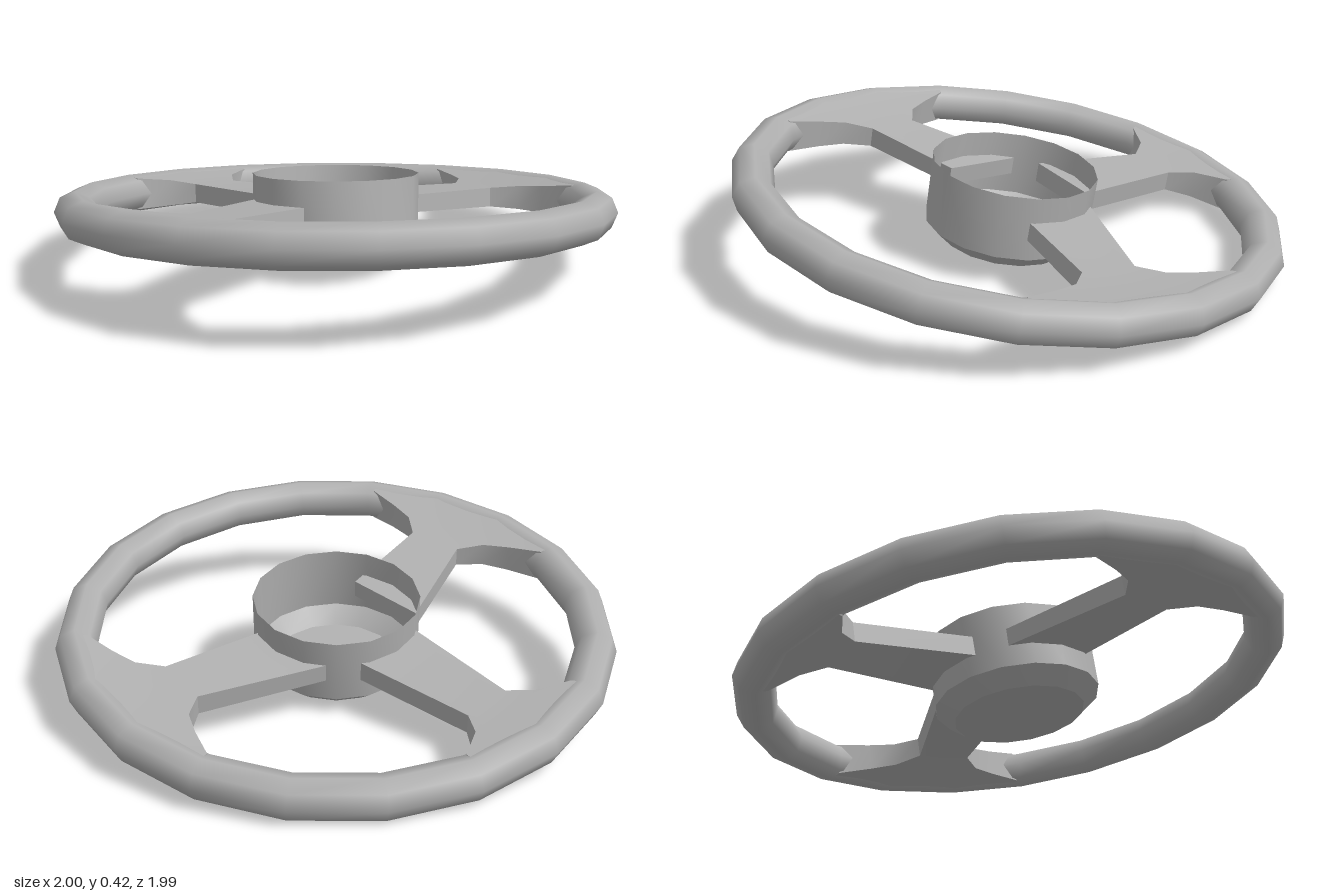
import * as THREE from 'three';
import { toCreasedNormals } from 'three/addons/utils/BufferGeometryUtils.js';

const grey = new THREE.MeshStandardMaterial({ color: 0xb0b0b0, side: THREE.DoubleSide });
grey.name = 'grey';

function part(name, geometry) {
  const mesh = new THREE.Mesh(geometry, grey);
  mesh.name = name;
  return mesh;
}

// Spoke from stations [r1, angle1, r2, angle2, halfHeight], hub to rim.
// Angles in degrees run from +x towards +z.
function spokeGeometry(stations) {
  const M = 8, pos = [];
  const polar = (r, a) => [r * Math.cos(a * Math.PI / 180), r * Math.sin(a * Math.PI / 180)];
  const loops = stations.map(([r1, a1, r2, a2, h]) => {
    const across = (t) => {
      if (r1 > 0.7) return polar(r1 + (r2 - r1) * t, a1 + (a2 - a1) * t);
      const p = polar(r1, a1), q = polar(r2, a2);
      return [p[0] + (q[0] - p[0]) * t, p[1] + (q[1] - p[1]) * t];
    };
    const loop = [];
    for (let i = 0; i <= M; i++) { const [x, z] = across(i / M); loop.push([x, h, z]); }
    for (let i = M; i >= 0; i--) { const [x, z] = across(i / M); loop.push([x, -h, z]); }
    return loop;
  });
  const quad = (a, b, c, d) => pos.push(...a, ...b, ...d, ...b, ...c, ...d);
  const n = 2 * M + 2;
  for (let s = 0; s + 1 < loops.length; s++) {
    for (let i = 0; i < n; i++) {
      const j = (i + 1) % n;
      quad(loops[s][i], loops[s][j], loops[s + 1][j], loops[s + 1][i]);
    }
  }
  // End inside the hub
  const end = loops[0];
  for (let i = 0; i < M; i++) quad(end[i], end[n - 1 - i], end[n - 2 - i], end[i + 1]);
  const g = new THREE.BufferGeometry();
  g.setAttribute('position', new THREE.Float32BufferAttribute(pos, 3));
  return toCreasedNormals(g, 0.6);
}

export function createModel() {
  const model = new THREE.Group();
  model.name = 'steeringWheel';

  // Whole wheel leans back and sideways
  const tilt = new THREE.Group();
  tilt.name = 'tiltedWheel';
  tilt.position.y = 0.215;
  tilt.quaternion.setFromUnitVectors(
    new THREE.Vector3(0, 1, 0), new THREE.Vector3(0.1, 1, -0.115).normalize());
  model.add(tilt);
  const wheel = new THREE.Group();
  wheel.name = 'wheel';
  wheel.rotation.y = THREE.MathUtils.degToRad(1.5);
  tilt.add(wheel);

  // Grip ring
  wheel.add(part('rim', new THREE.TorusGeometry(0.93, 0.074, 8, 20).rotateX(Math.PI / 2)));

  // Open cup with a bevelled base
  const profile = [[0, -0.165], [0.235, -0.165], [0.298, -0.11], [0.3, 0.125]]
    .map(([x, y]) => new THREE.Vector2(x, y));
  wheel.add(part('hub', toCreasedNormals(new THREE.LatheGeometry(profile, 16), 0.6)));

  // Side spokes, flaring where they meet the rim
  const c = 8.5;
  const side = [
    [0.29, -39.3, 0.246, 28.1, 0.032],
    [0.66, c - 9, 0.66, c + 9, 0.036],
    [0.75, c - 13.5, 0.75, c + 13.5, 0.044],
    [0.81, c - 19.5, 0.81, c + 19.5, 0.051],
    [0.887, c - 26.3, 0.887, c + 26.3, 0.061],
    [0.93, c - 26.3, 0.93, c + 26.3, 0.068],
  ];
  const mirrored = side.map(([r1, a1, r2, a2, h]) => [r2, 180 - a2, r1, 180 - a1, h]);
  wheel.add(part('leftSpoke', spokeGeometry(side)));
  wheel.add(part('rightSpoke', spokeGeometry(mirrored)));

  // Narrower rear spoke
  const rear = [
    [0.279, 30.6, 0.036], [0.71, 7.7, 0.036], [0.8, 11.2, 0.05],
    [0.887, 17.8, 0.061], [0.93, 17.8, 0.068],
  ].map(([r, a, h]) => [r, -90 - a, r, -90 + a, h]);
  wheel.add(part('rearSpoke', spokeGeometry(rear)));

  return model;
}
